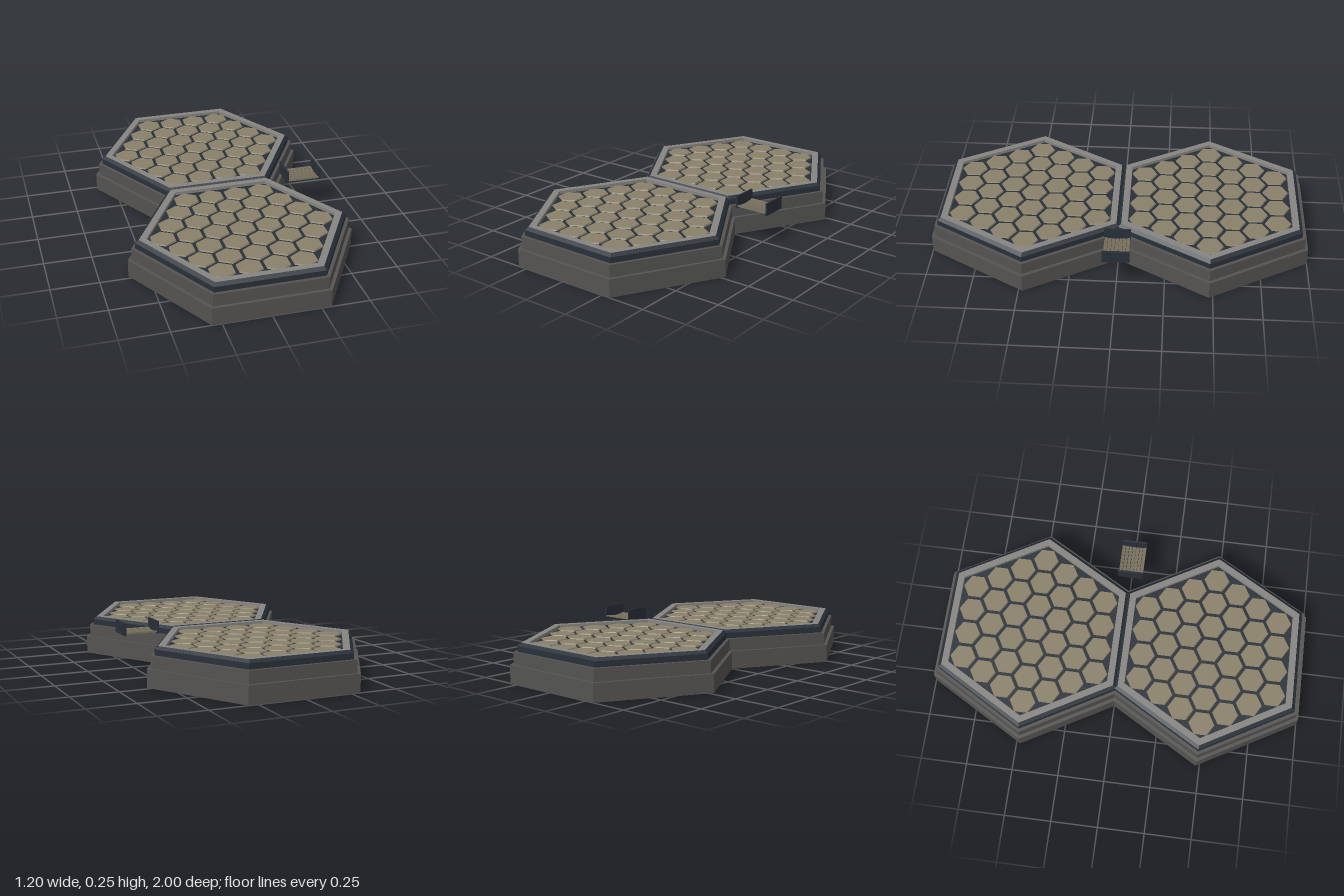
import * as THREE from 'three';

const mat = (color, side = THREE.FrontSide) =>
  new THREE.MeshStandardMaterial({ color, side, flatShading: true });
const stone = mat(0x545351);
const stoneShell = mat(0x545351, THREE.DoubleSide);
const slate = mat(0x293039);
const trim = mat(0x858480);
const tan = mat(0x8a806a);
const wood = mat(0x766e5c);

function add(parent, name, geometry, material, x = 0, y = 0, z = 0) {
  const mesh = new THREE.Mesh(geometry, material);
  mesh.name = name;
  mesh.position.set(x, y, z);
  parent.add(mesh);
  return mesh;
}

// Six-sided solid between two heights, corners on the x axis
function hexSlab(r, y0, y1) {
  return new THREE.CylinderGeometry(r, r, y1 - y0, 6, 1, false, Math.PI / 2)
    .translate(0, (y0 + y1) / 2, 0);
}

// Six-sided band swept from a [radius, height] profile
function hexBand(profile) {
  const points = profile.map(([r, y]) => new THREE.Vector2(r, y));
  return new THREE.LatheGeometry(points, 6, Math.PI / 2);
}

function createPlatform() {
  const platform = new THREE.Group();
  platform.name = 'hexPlatform';

  // Stepped foundation: a hollow skirt, open below, under a solid tier
  add(platform, 'lowerTier', hexBand([[0.6, 0], [0.6, 0.095], [0.57, 0.095]]), stoneShell);
  add(platform, 'upperTier', hexSlab(0.58, 0.095, 0.16), stone);

  // Recessed floor inside a chamfered rim
  add(platform, 'floor', hexSlab(0.52, 0.16, 0.188), slate);
  add(platform, 'rimSide', hexBand([[0.56, 0.16], [0.56, 0.19], [0.54, 0.205]]), slate);
  add(platform, 'rimTop', hexBand([[0.54, 0.205], [0.5, 0.205], [0.5, 0.186]]), trim);

  // Honeycomb paving in rows of 4, 5, 6, 7, 6, 5, 4
  const tile = new THREE.CylinderGeometry(0.067, 0.071, 0.008, 6);
  const pitch = 0.1385;
  for (let row = -3; row <= 3; row++) {
    const count = 7 - Math.abs(row);
    for (let i = 0; i < count; i++) {
      add(platform, 'pavingTile', tile, tan,
        (i - (count - 1) / 2) * pitch, 0.191, row * pitch * Math.sqrt(3) / 2);
    }
  }
  return platform;
}

function createBridge() {
  const bridge = new THREE.Group();
  bridge.name = 'bridge';

  // Side walls
  const wall = new THREE.BoxGeometry(0.01, 0.067, 0.14);
  for (const side of [-1, 1]) add(bridge, 'bridgeWall', wall, slate, side * 0.092, 0.2185, 0);

  // Planks laid between the walls, sagging slightly towards the middle
  const plank = new THREE.BoxGeometry(0.184, 0.008, 0.0175);
  for (let i = -3; i <= 3; i++) {
    const mesh = add(bridge, 'bridgePlank', plank, wood, 0, 0.189 + 0.0007 * i * i, i * 0.0195);
    mesh.rotation.x = -0.07 * i;
  }
  return bridge;
}

export function createModel() {
  const model = new THREE.Group();
  model.name = 'hexPlatforms';
  for (const side of [-1, 1]) {
    const platform = createPlatform();
    platform.position.z = side * 0.48;
    model.add(platform);
  }
  const bridge = createBridge();
  bridge.position.x = 0.471;
  model.add(bridge);
  return model;
}
